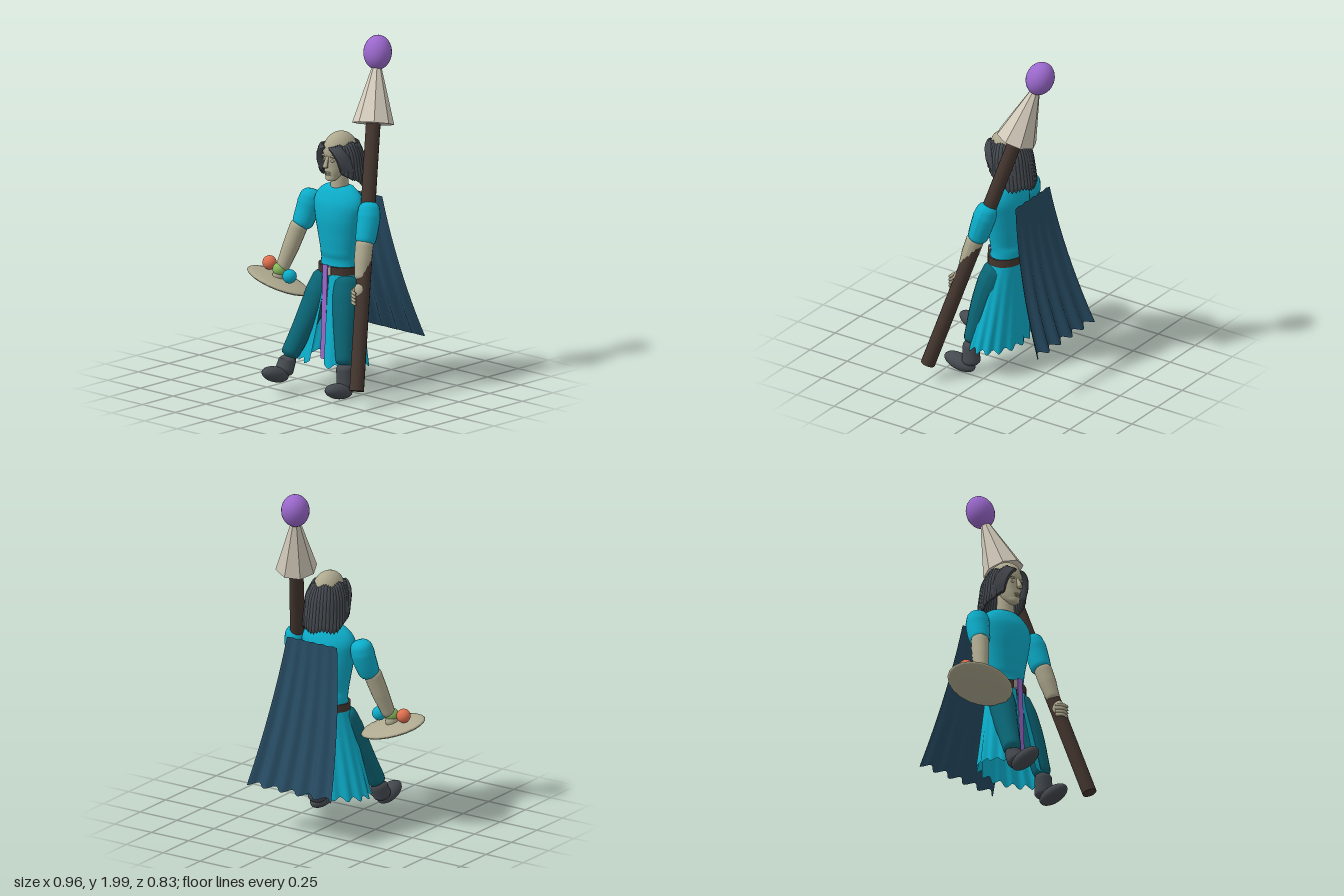
import * as THREE from 'three';
import { ParametricGeometry } from 'three/addons/geometries/ParametricGeometry.js';

const mat = (name, color, side = THREE.FrontSide) => {
  const m = new THREE.MeshStandardMaterial({ color, side });
  m.name = name;
  return m;
};
const V = (p) => new THREE.Vector3(...p);
const CX = 0.047; // middle of the body

export function createModel() {
  const skin = mat('skin', 0xaea98f);
  const ivory = mat('ivory', 0xd4ccbc);
  const cyan = mat('tunic cyan', 0x0cadca, THREE.DoubleSide);
  const teal = mat('trouser teal', 0x0a6676);
  const navy = mat('cape navy', 0x264a61, THREE.DoubleSide);
  const purple = mat('purple', 0x9a68cc);
  const brown = mat('wood brown', 0x44362f);
  const charcoal = mat('charcoal', 0x454a50);
  const orange = mat('orange', 0xe0704f);
  const green = mat('green', 0x86b85c);

  const model = new THREE.Group();
  const add = (name, geo, material, pos = [0, 0, 0], parent = model) => {
    const mesh = new THREE.Mesh(geo, material);
    mesh.name = name;
    mesh.position.set(...pos);
    parent.add(mesh);
    return mesh;
  };
  const blob = (name, material, pos, size, parent = model) => {
    const mesh = add(name, new THREE.SphereGeometry(1, 24, 16), material, pos, parent);
    mesh.scale.set(...size);
    return mesh;
  };
  // Tube with a changing radius and rounded ends
  const limb = (name, material, pts, radii, sides = 16, seg = 24, parent = model) => {
    const curve = new THREE.CatmullRomCurve3(pts.map(V));
    const geo = new THREE.TubeGeometry(curve, seg, 1, sides);
    const len = curve.getLength(), p = geo.attributes.position, v = new THREE.Vector3();
    for (let i = 0; i <= seg; i++) {
      const t = i / seg, c = curve.getPointAt(t);
      const k = Math.min(t * (radii.length - 1), radii.length - 1.0001), a = Math.floor(k);
      let r = THREE.MathUtils.lerp(radii[a], radii[a + 1], k - a);
      const d = Math.min(t, 1 - t) * len, cap = Math.min(r * 0.7, len * 0.3);
      if (d < cap) r *= Math.sqrt(Math.max(0.0004, 1 - (1 - d / cap) ** 2));
      for (let j = 0; j <= sides; j++) {
        const n = i * (sides + 1) + j;
        v.fromBufferAttribute(p, n).sub(c).multiplyScalar(r).add(c);
        p.setXYZ(n, v.x, v.y, v.z);
      }
    }
    geo.computeVertexNormals();
    return add(name, geo, material, [0, 0, 0], parent);
  };
  // Smooth body through oval rows of [y, half width, half depth, centre z]
  const ovalLoft = (name, material, rows, parent = model) => {
    const size = new THREE.CatmullRomCurve3(rows.map((r) => V(r.slice(0, 3))));
    const mid = new THREE.CatmullRomCurve3(rows.map((r) => V([r[3], 0, 0])));
    const geo = new ParametricGeometry((u, v, out) => {
      const s = size.getPoint(v), a = u * Math.PI * 2;
      out.set(CX + Math.sin(a) * s.y, s.x, mid.getPoint(v).x + Math.cos(a) * s.z);
    }, 32, 32);
    return add(name, geo, material, [0, 0, 0], parent);
  };

  // Torso and belt
  ovalLoft('torso', cyan, [
    [0.7, 0.12, 0.093, -0.025], [0.78, 0.117, 0.088, -0.025], [0.9, 0.138, 0.098, -0.024],
    [1.0, 0.158, 0.104, -0.022], [1.08, 0.17, 0.098, -0.024], [1.13, 0.15, 0.08, -0.026],
    [1.17, 0.1, 0.058, -0.028], [1.18, 0.06, 0.04, -0.028], [1.18, 0.001, 0.001, -0.028],
  ]);
  const belt = add('belt', new THREE.CylinderGeometry(1, 1, 0.045, 36), brown, [CX, 0.705, -0.022]);
  belt.scale.set(0.127, 1, 0.1);
  add('buckle', new THREE.BoxGeometry(0.06, 0.05, 0.012), ivory, [CX, 0.705, 0.078]);
  const sash = add('sash', new THREE.BoxGeometry(0.036, 0.54, 0.008), purple, [CX, 0.47, 0.099]);
  sash.rotation.x = -0.035;

  // Pleated skirt, slit at the front
  add('skirt', new ParametricGeometry((u, v, out) => {
    const d = 1 - v, slit = 0.08 + 0.17 * d;
    const a = slit + u * (Math.PI * 2 - 2 * slit);
    const k = 1 + 0.045 * d * Math.cos(a * 16);
    out.set(CX + Math.sin(a) * (0.12 + 0.108 * d) * k, 0.7 - d * (0.52 + 0.012 * Math.cos(a * 16)),
      -0.025 + 0.05 * d + Math.cos(a) * (0.094 + 0.05 * d) * k);
  }, 128, 12), cyan);

  // Cape: hangs away from the back in a curve, with folds growing downward
  add('cape', new ParametricGeometry((u, v, out) => {
    const d = 1 - v, s = u * 2 - 1;
    const fold = 0.018 * (0.15 + 0.85 * d) * Math.cos(u * Math.PI * 10);
    out.set(CX - s * (0.17 + 0.115 * d), 1.11 - 0.825 * d - fold * 0.4, -0.19 - 0.1 * d - 0.112 * d * d - fold);
  }, 80, 16), navy);

  // Legs and boots: [hip, knee, ankle, heel, foot centre, toe pitch]
  const legs = [
    ['left', [0.112, 0.68, -0.01], [0.168, 0.43, 0.06], [0.212, 0.18, 0.108], [0.22, 0.05, 0.105], [0.227, 0.057, 0.175], 0.22],
    ['right', [-0.018, 0.68, -0.005], [-0.07, 0.43, 0.1], [-0.125, 0.19, 0.215], [-0.127, 0.1, 0.255], [-0.127, 0.118, 0.315], 0.32],
  ];
  for (const [side, hip, knee, ankle, heel, foot, pitch] of legs) {
    limb(side + 'Leg', teal, [hip, knee, ankle], [0.07, 0.077, 0.068, 0.058, 0.05]);
    const top = ankle.map((c, i) => c + (i === 1 ? 0.025 : 0));
    limb(side + 'BootShaft', charcoal, [top, ankle, heel], [0.048, 0.05, 0.055]);
    blob(side + 'Boot', charcoal, foot, [0.054, 0.044, 0.1]).rotation.x = -pitch;
  }

  // Arms
  limb('rightSleeve', cyan, [[-0.163, 1.12, -0.03], [-0.18, 1.01, -0.01], [-0.2, 0.89, 0.03]], [0.056, 0.068, 0.064, 0.056]);
  limb('rightForearm', skin, [[-0.2, 0.94, 0.025], [-0.235, 0.8, 0.065], [-0.272, 0.65, 0.112]], [0.052, 0.048, 0.036]);
  blob('rightHand', skin, [-0.28, 0.625, 0.118], [0.036, 0.04, 0.04]);
  limb('leftSleeve', cyan, [[0.258, 1.12, -0.045], [0.277, 1.01, -0.015], [0.286, 0.875, 0.025]], [0.054, 0.066, 0.062, 0.056]);
  limb('leftForearm', skin, [[0.285, 0.92, 0.02], [0.298, 0.82, 0.05], [0.318, 0.69, 0.088]], [0.052, 0.049, 0.036]);
  blob('leftHand', skin, [0.33, 0.64, 0.108], [0.036, 0.05, 0.036]);
  for (let i = 0; i < 4; i++) {
    const y = 0.655 - i * 0.02;
    limb('leftFinger', skin, [[0.3, y, 0.11], [0.317, y - 0.01, 0.158], [0.352, y - 0.018, 0.165]], [0.011, 0.009], 8, 10);
  }

  // Head and face
  const head = new THREE.Group();
  head.name = 'head';
  model.add(head);
  add('neck', new THREE.CylinderGeometry(0.046, 0.052, 0.13, 20), skin, [CX, 1.22, -0.025], head);
  blob('skull', skin, [CX, 1.385, -0.03], [0.082, 0.103, 0.11], head);
  ovalLoft('face', skin, [
    [1.213, 0.001, 0.001, 0.04], [1.22, 0.026, 0.024, 0.044], [1.25, 0.046, 0.05, 0.022],
    [1.3, 0.062, 0.068, 0.005], [1.36, 0.07, 0.077, -0.003], [1.43, 0.066, 0.075, -0.01],
  ], head);
  limb('nose', skin, [[CX, 1.365, 0.068], [CX, 1.33, 0.084], [CX, 1.295, 0.093]], [0.009, 0.012, 0.018], 10, 12, head);
  blob('upperLip', skin, [CX, 1.268, 0.07], [0.021, 0.006, 0.011], head);
  blob('lowerLip', skin, [CX, 1.256, 0.068], [0.018, 0.006, 0.011], head);
  for (const s of [-1, 1]) {
    blob('eye', skin, [CX + s * 0.028, 1.338, 0.062], [0.013, 0.008, 0.01], head);
    blob('brow', skin, [CX + s * 0.03, 1.362, 0.064], [0.022, 0.007, 0.011], head);
    blob('ear', skin, [CX + s * 0.075, 1.31, -0.015], [0.012, 0.03, 0.02], head);
  }

  // Hair: long strands around the sides and back, swept locks at the front
  const hair = new THREE.Group();
  hair.name = 'hair';
  model.add(hair);
  const count = 30;
  for (let i = 0; i < count; i++) {
    const a = THREE.MathUtils.degToRad(50 + (260 * i) / (count - 1));
    const s = Math.sin(a), c = Math.cos(a), j = 0.008 * Math.sin(i * 5.3);
    limb('strand', charcoal, [
      [CX + 0.072 * s, 1.432 + j, -0.03 + 0.096 * c],
      [CX + 0.1 * s, 1.36, -0.038 + 0.118 * c],
      [CX + 0.11 * s, 1.27, -0.045 + 0.128 * c],
      [CX + 0.122 * s, 1.165 + j + 0.1 * Math.max(0, c + 0.35), -0.055 + 0.138 * c],
    ], [0.014, 0.019, 0.018, 0.012], 8, 14, hair);
  }
  for (const s of [-1, 1]) {
    for (let i = 0; i < 5; i++) {
      limb('frontLock', charcoal, [
        [CX + s * (0.012 + i * 0.011), 1.415 + i * 0.005, 0.078 - i * 0.006],
        [CX + s * (0.05 + i * 0.008), 1.395, 0.074 - i * 0.008],
        [CX + s * (0.078 + i * 0.006), 1.34, 0.055 - i * 0.01],
        [CX + s * (0.082 + i * 0.008), 1.255 - i * 0.008, 0.035 - i * 0.012],
      ], [0.008, 0.018, 0.017, 0.007], 8, 14, hair);
    }
  }

  // Leaning staff with a faceted cone and an egg-shaped knob
  const foot = V([0.435, 0.11, 0.25]), axis = V([0.1, 1.904, -0.28]).sub(foot);
  const staff = new THREE.Group();
  staff.name = 'staff';
  staff.position.copy(foot);
  staff.quaternion.setFromUnitVectors(V([0, 1, 0]), axis.clone().normalize());
  model.add(staff);
  add('shaft', new THREE.CylinderGeometry(0.041, 0.041, 1.54, 16), brown, [0, 0.77, 0], staff);
  const cone = new THREE.CylinderGeometry(0.026, 0.118, 0.32, 8).toNonIndexed();
  cone.computeVertexNormals();
  add('staffCone', cone, ivory, [0, 1.66, 0], staff);
  blob('staffKnob', purple, [0, axis.length(), 0], [0.08, 0.098, 0.08], staff);

  // Tilted tray with three balls
  const tray = add('tray', new THREE.SphereGeometry(1, 20, 10), skin, [-0.288, 0.592, 0.118]);
  tray.scale.set(0.202, 0.026, 0.16);
  tray.quaternion.setFromUnitVectors(V([0, 1, 0]), V([0.26, 1, -0.19]).normalize());
  const balls = [[orange, -0.374, 0.677, 0.096], [green, -0.276, 0.66, 0.119], [cyan, -0.178, 0.641, 0.142]];
  for (const [m, ...pos] of balls) blob('ball', m, pos, [0.04, 0.04, 0.04]);

  return model;
}
